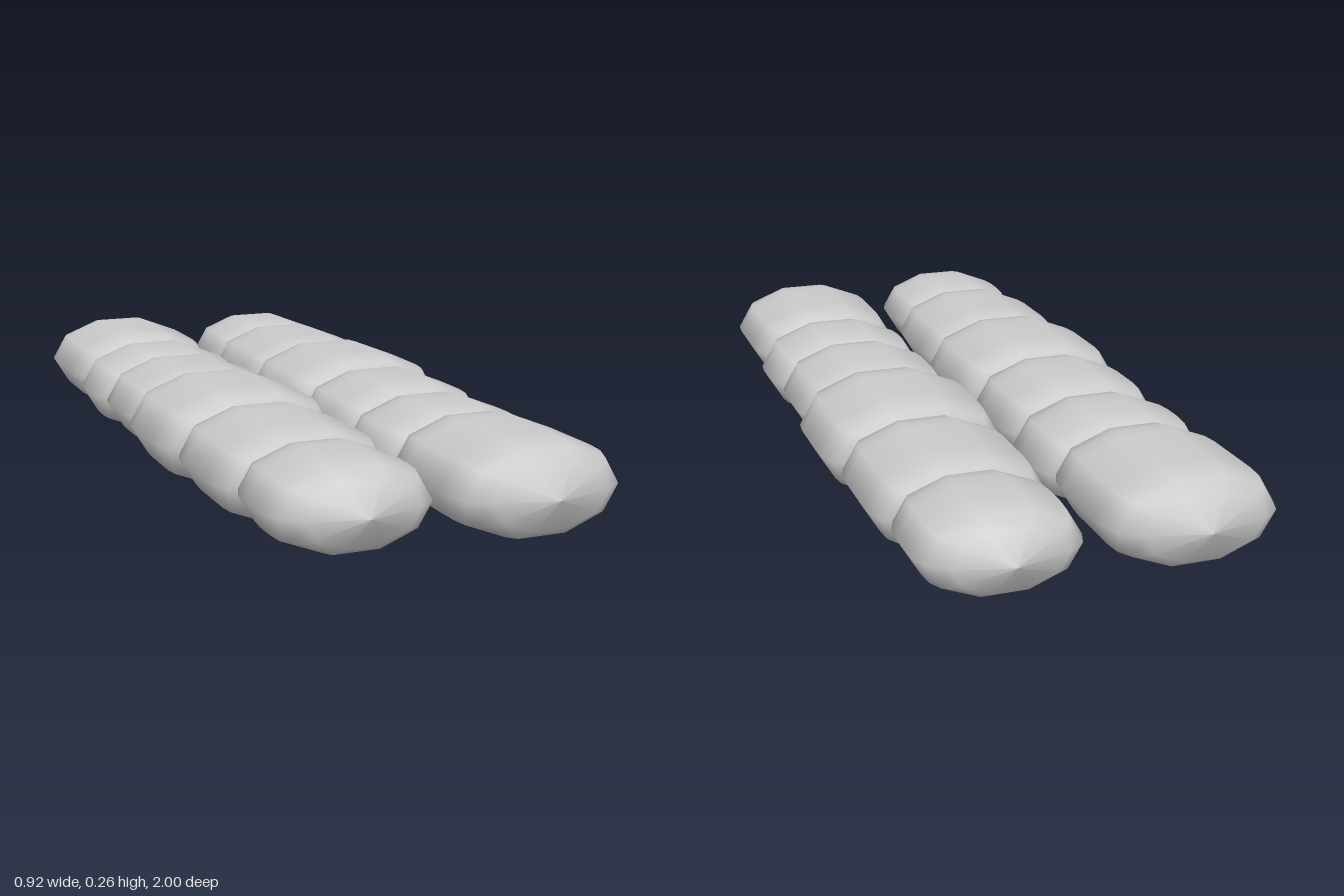
import * as THREE from 'three';

const material = new THREE.MeshStandardMaterial({ color: 0xcccccc });
const SIDES = 10;
const FLATNESS = 0.545; // height of a segment relative to its width

// Rounded end of a segment: [relative radius, distance from the tip]
const CAP = [[0, 0], [0.68, 0.036], [0.9, 0.072], [0.98, 0.115], [1, 0.16]];

// Segments from front to back: [front z, back z, half width, centre height]
const SEGMENTS = [
  [0.995, 0.505, 0.215, 0.126],
  [0.62, 0.25, 0.222, 0.115],
  [0.37, -0.05, 0.215, 0.125],
  [0.08, -0.39, 0.236, 0.128],
  [-0.27, -0.745, 0.216, 0.126],
  [-0.62, -1.0, 0.196, 0.13],
];

// One pillow-shaped segment, lying along z
function createSegment([front, back, halfWidth, height]) {
  const half = (front - back) / 2;
  const points = [
    ...CAP.map(([r, d]) => new THREE.Vector2(r, d - half)),
    ...CAP.map(([r, d]) => new THREE.Vector2(r, half - d)).reverse(),
  ];
  const geometry = new THREE.LatheGeometry(points, SIDES, Math.PI / 2);
  geometry.rotateX(Math.PI / 2);
  geometry.scale(halfWidth, halfWidth * FLATNESS, 1);
  const mesh = new THREE.Mesh(geometry, material);
  mesh.position.set(0.226, height, (front + back) / 2);
  return mesh;
}

// A full chain of overlapping segments
function createRow(name) {
  const row = new THREE.Group();
  row.name = name;
  SEGMENTS.forEach((segment, i) => {
    const mesh = createSegment(segment);
    mesh.name = `${name}Segment${i + 1}`;
    row.add(mesh);
  });
  return row;
}

export function createModel() {
  const model = new THREE.Group();
  model.name = 'segmentedRows';

  const leftRow = createRow('leftRow');

  // The second row is the first one turned end for end, slightly raised
  const rightRow = createRow('rightRow');
  rightRow.rotation.y = Math.PI;
  rightRow.position.y = 0.01;

  model.add(leftRow, rightRow);
  return model;
}
